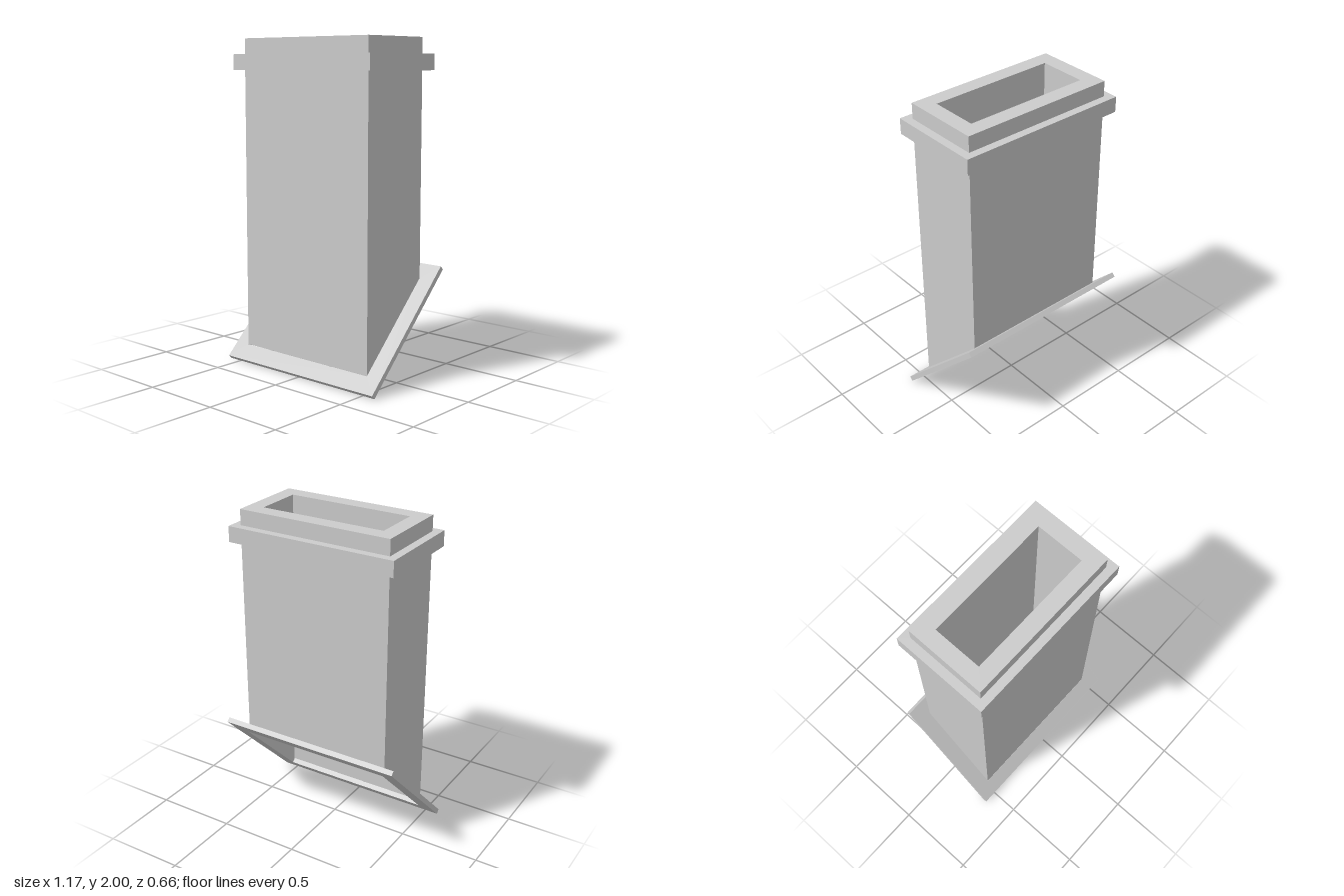
import * as THREE from 'three';

const CZ = 0.01; // shaft axis sits slightly forward
const HX = 0.485, HZ = 0.243; // half size of the shaft
const PLATE_Y = 0.33, PLATE_T = 0.031, PLATE_L = 0.9;

const material = new THREE.MeshStandardMaterial({
  color: 0xcccccc, flatShading: true, side: THREE.DoubleSide,
});

// Rectangular ring of four corners; y may be a number or a function of z
function ring(hx, hz, y) {
  return [[1, 1], [1, -1], [-1, -1], [-1, 1]].map(([sx, sz]) => {
    const z = CZ + sz * hz;
    return [sx * hx, typeof y === 'function' ? y(z) : y, z];
  });
}

// Skin of flat quads through successive rings, optionally closed by a last face
function skin(name, rings, closeLast = false) {
  const pos = [];
  const quad = (a, b, c, d) => pos.push(...a, ...b, ...c, ...a, ...c, ...d);
  for (let r = 0; r < rings.length - 1; r++) {
    for (let i = 0; i < 4; i++) {
      const j = (i + 1) % 4;
      quad(rings[r][i], rings[r][j], rings[r + 1][j], rings[r + 1][i]);
    }
  }
  if (closeLast) quad(...rings[rings.length - 1]);
  const geo = new THREE.BufferGeometry();
  geo.setAttribute('position', new THREE.Float32BufferAttribute(pos, 3));
  geo.computeVertexNormals();
  const mesh = new THREE.Mesh(geo, material);
  mesh.name = name;
  return mesh;
}

function rectPath(path, hx, hy) {
  path.moveTo(-hx, -hy);
  path.lineTo(hx, -hy);
  path.lineTo(hx, hy);
  path.lineTo(-hx, hy);
  path.closePath();
  return path;
}

// Sloping flashing frame with an opening that matches the shaft
function roofPlate() {
  const shape = rectPath(new THREE.Shape(), 0.585, PLATE_L / 2);
  shape.holes.push(rectPath(new THREE.Path(), HX, HZ * Math.SQRT2));
  const geo = new THREE.ExtrudeGeometry(shape, { depth: PLATE_T, bevelEnabled: false });
  geo.translate(0, 0, -PLATE_T / 2);
  geo.rotateX(-Math.PI / 4);
  geo.translate(0, PLATE_Y, 0);
  const mesh = new THREE.Mesh(geo, material);
  mesh.name = 'roofPlate';
  return mesh;
}

export function createModel() {
  const group = new THREE.Group();
  group.name = 'chimney';

  // Open-bottomed shaft, cut along the top of the sloping plate
  const slope = (z) => PLATE_Y + PLATE_T / Math.SQRT2 - z;
  group.add(skin('shaft', [ring(HX, HZ, slope), ring(HX, HZ, 1.81)]));

  // Projecting band near the top
  group.add(skin('collar', [
    ring(HX, HZ, 1.81), ring(0.535, 0.292, 1.81),
    ring(0.535, 0.292, 1.905), ring(HX, HZ, 1.905),
  ]));

  // Upper rim turning inwards into the closed flue
  group.add(skin('rimAndFlue', [
    ring(HX, HZ, 1.905), ring(HX, HZ, 2),
    ring(0.39, 0.147, 2), ring(0.39, 0.147, 0.61),
  ], true));

  group.add(roofPlate());
  return group;
}
